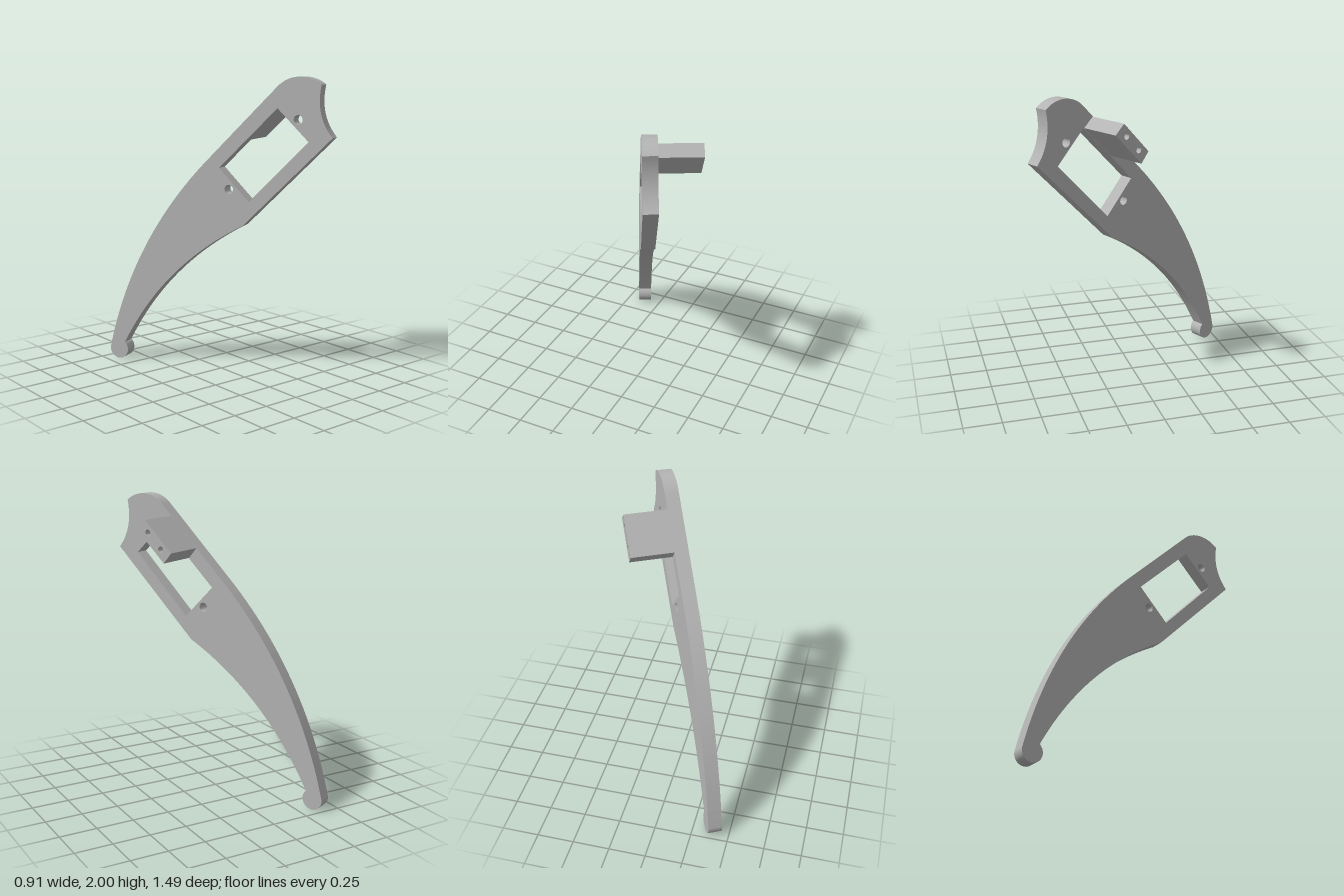
import * as THREE from 'three';

const THICK = 0.094; // plate thickness
const REACH = 0.382; // far end of the block, measured from the plate's outer face

// Polygon path from a short list of corners
const polygon = (Type, pts) => new Type(pts.map(([x, y]) => new THREE.Vector2(x, y)));

function roundHole(x, y, r) {
  const path = new THREE.Path();
  path.absarc(x, y, r, 0, Math.PI * 2, true);
  return path;
}

// Extrudes a shape between two distances from the plate's outer face
function slab(name, shape, from, to, material) {
  const geometry = new THREE.ExtrudeGeometry(shape, {
    depth: to - from, bevelEnabled: false, curveSegments: 24,
  });
  geometry.translate(0, 0, -to);
  const mesh = new THREE.Mesh(geometry, material);
  mesh.name = name;
  return mesh;
}

export function createModel() {
  const grey = new THREE.MeshStandardMaterial({ color: 0xb4b4b4 });
  grey.name = 'grey';
  const rad = THREE.MathUtils.degToRad;

  // Curved lever plate: round tip, swept arm, head with a scooped end
  const outline = new THREE.Shape();
  outline.absarc(-0.721, 0.07, 0.07, rad(167), rad(408), false);
  outline.quadraticCurveTo(-0.36, 0.716, 0.232, 1.026);
  outline.lineTo(0.836, 1.62);
  outline.quadraticCurveTo(0.718, 1.76, 0.759, 1.95);
  outline.absarc(0.62, 1.78, 0.22, rad(50.7), rad(135), false);
  outline.lineTo(0, 1.475);
  outline.quadraticCurveTo(-0.596, 0.896, -0.789, 0.086);

  // Rectangular window and the two screw holes beside it
  outline.holes.push(
    polygon(THREE.Path, [[0.468, 1.8], [0.062, 1.403], [0.275, 1.186], [0.678, 1.592]]),
    roundHole(0.608, 1.73, 0.03),
    roundHole(0.132, 1.263, 0.03),
  );

  // Block standing out from the plate, with two holes in its end
  const blockShape = polygon(THREE.Shape,
    [[0.392, 1.86], [0.187, 1.657], [0.246, 1.587], [0.462, 1.798]]);
  blockShape.holes.push(roundHole(0.37, 1.778, 0.02), roundHole(0.269, 1.677, 0.02));

  const group = new THREE.Group();
  group.name = 'lever';
  const body = new THREE.Group();
  body.name = 'leverBody';
  body.add(
    slab('plate', outline, 0, THICK, grey),
    slab('mountingBlock', blockShape, THICK, REACH, grey),
  );
  // The plate stands upright, turned about the vertical axis
  body.rotation.y = -Math.acos(0.458);
  body.position.x = -0.092;
  group.add(body);
  return group;
}
